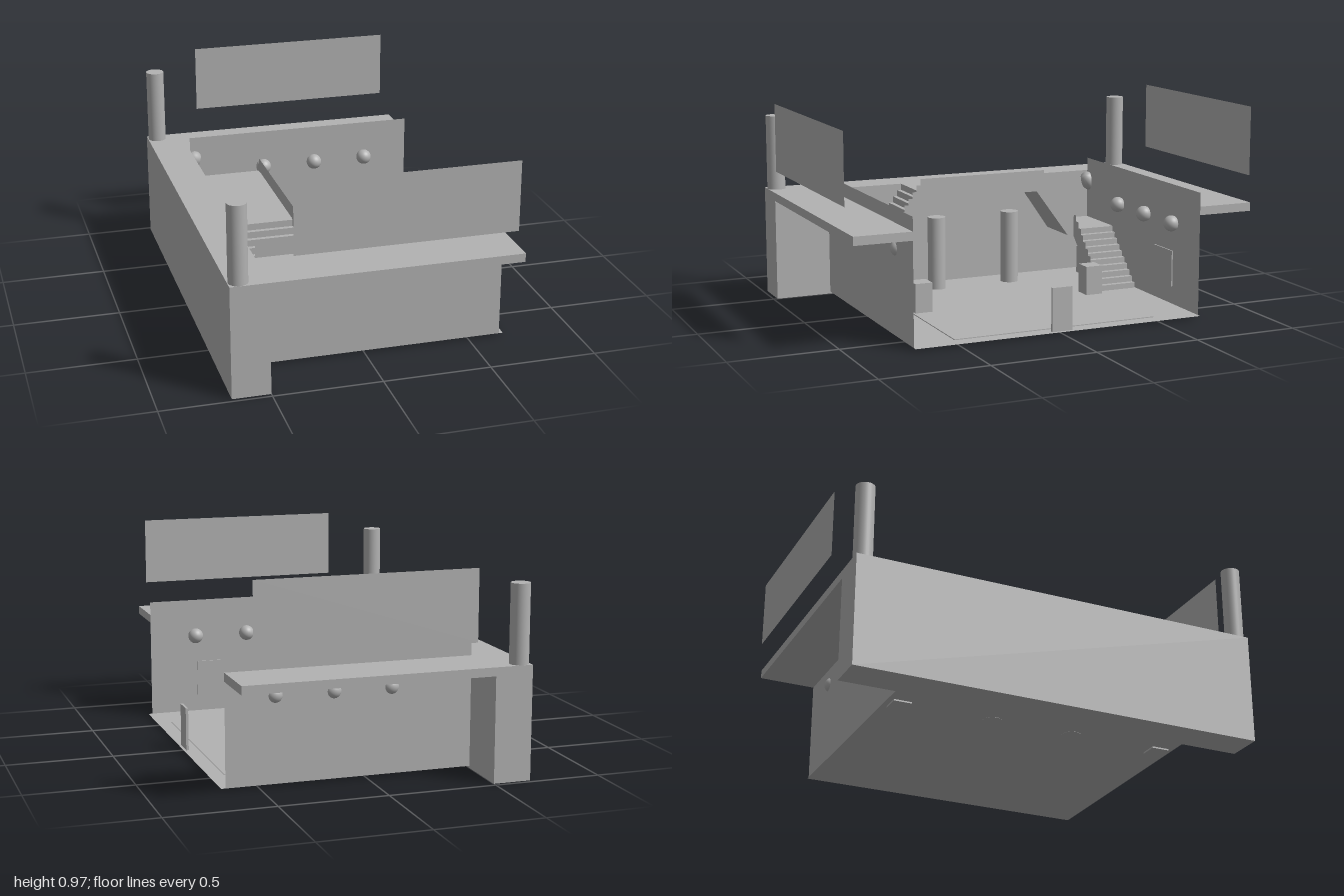
import * as THREE from 'three';

export function createModel() {
  const root = new THREE.Group();
  const stone = new THREE.MeshStandardMaterial({ color: 0xb2b2b2, side: THREE.DoubleSide });
  stone.name = 'grey stone';

  function add(name, geometry, x = 0, y = 0, z = 0) {
    const mesh = new THREE.Mesh(geometry, stone);
    mesh.name = name;
    mesh.position.set(x, y, z);
    root.add(mesh);
    return mesh;
  }
  // Box given by its limits on each axis
  function box(name, x0, x1, y0, y1, z0, z1) {
    return add(name, new THREE.BoxGeometry(x1 - x0, y1 - y0, z1 - z0),
      (x0 + x1) / 2, (y0 + y1) / 2, (z0 + z1) / 2);
  }
  // Upright sheet parallel to the side walls
  function sheet(name, x0, x1, y0, y1, z) {
    return add(name, new THREE.PlaneGeometry(x1 - x0, y1 - y0), (x0 + x1) / 2, (y0 + y1) / 2, z);
  }
  // Staircase outline points climbing from (a0, y0) to (a1, y1), riser first
  function steps(a0, y0, a1, y1, n) {
    const pts = [];
    for (let i = 0; i < n; i++) {
      const y = y0 + (y1 - y0) * (i + 1) / n;
      pts.push([a0 + (a1 - a0) * i / n, y], [a0 + (a1 - a0) * (i + 1) / n, y]);
    }
    return pts;
  }
  const outline = pts => new THREE.Shape(pts.map(p => new THREE.Vector2(p[0], p[1])));
  const extrude = (pts, depth) =>
    new THREE.ExtrudeGeometry(outline(pts), { depth, bevelEnabled: false });

  // Floor, carpet and rear block
  const floor = add('floor', new THREE.PlaneGeometry(1.175, 1.42), 0.0825, 0.01, 0);
  floor.rotation.x = -Math.PI / 2;
  box('floorInset', -0.23, 0.6, 0.01, 0.014, -0.5, 0.5);
  box('rearBlock', -0.675, -0.5, 0, 0.525, -0.98, 0.98);
  box('upperPlatform', -0.5, -0.23, 0.485, 0.525, -0.31, 0.31);

  // Door standing at the open edge, with a knob
  box('door', 0.648, 0.66, 0.012, 0.215, -0.05, 0.05);
  add('doorKnob', new THREE.SphereGeometry(0.005, 10, 8), 0.645, 0.11, 0.037);

  // Stepped parapet along the platform and both upper flights
  const left = [[0.5, 0.24], ...steps(0.5, 0.31, 0.31, 0.59, 9)];
  const right = left.map(([a, y]) => [-a, y]).reverse();
  const parapet = add('platformParapet', new THREE.ShapeGeometry(outline(
    [...left, ...right, [-0.47, 0.24], [-0.29, 0.485], [0.29, 0.485], [0.47, 0.24]])), -0.23, 0, 0);
  parapet.rotation.y = -Math.PI / 2;

  // Lamp profile: rounded bottom, narrower flat top
  const lampProfile = [[0, -0.045], [0.018, -0.042], [0.032, -0.03], [0.038, -0.012],
    [0.036, 0.01], [0.026, 0.045], [0, 0.045]].map(p => new THREE.Vector2(p[0], p[1]));

  for (const s of [1, -1]) {
    const span = (a, b) => [Math.min(s * a, s * b), Math.max(s * a, s * b)];

    // Side wall, gallery and floating screen
    sheet('sideWall', -0.5, 0.65, 0.01, 0.59, s * 0.71);
    box('gallery', -0.5, 0.65, 0.485, 0.525, ...span(0.71, 0.98));
    sheet('floatingScreen', -0.402, 0.604, 0.645, 0.97, s);
    box('wallPanel', 0.23, 0.41, 0.095, 0.27, ...span(0.702, 0.708));

    // Lower flight running along the wall, then landing
    const lower = [[0.04, 0.01], ...steps(0.04, 0.01, -0.23, 0.28, 10), [-0.23, 0.24], [0.01, 0.01]];
    add('lowerStairs', extrude(lower, 0.205), 0, 0, span(0.5, 0.705)[0]);
    box('landing', -0.5, -0.23, 0.24, 0.28, ...span(0.48, 0.71));

    // Stepped stringer on the open side of the lower flight
    add('lowerStringer', new THREE.ShapeGeometry(outline(
      [[0.04, 0.01], ...steps(0.04, 0.05, -0.23, 0.35, 10), [-0.23, 0.24], [0.0, 0.01]])), 0, 0, s * 0.498);

    // Upper flight from landing to platform
    const upper = [[0.48, 0.24], ...steps(0.48, 0.28, 0.31, 0.525, 8), [0.31, 0.485]]
      .map(([a, y]) => [s * a, y]);
    const flight = add('upperStairs', extrude(upper, 0.268), -0.232, 0, 0);
    flight.rotation.y = -Math.PI / 2;

    // Boxes at the foot of the stairs and below the landing
    box('stairPost', 0.015, 0.1, 0.01, 0.155, ...span(0.405, 0.49));
    box('underStairBox', -0.4, -0.315, 0.003, 0.148, ...span(0.6, 0.685));

    // Roof pillars and columns below the platform
    const column = new THREE.CylinderGeometry(0.044, 0.044, 0.362, 32);
    add('roofPillar', column, -0.628, 0.705, s * 0.935);
    add('innerColumn', column, -0.36, 0.19, s * 0.198);

    // Wall globes
    for (const x of [-0.12, 0.15, 0.42]) {
      add('wallGlobe', new THREE.SphereGeometry(0.038, 24, 16), x, 0.407, s * 0.69);
    }

    // Tilted corner lamp
    const lamp = add('cornerLamp', new THREE.LatheGeometry(lampProfile, 20), -0.485, 0.468, s * 0.71);
    lamp.rotation.set(-s * 0.6, 0, -0.25);
  }
  return root;
}
